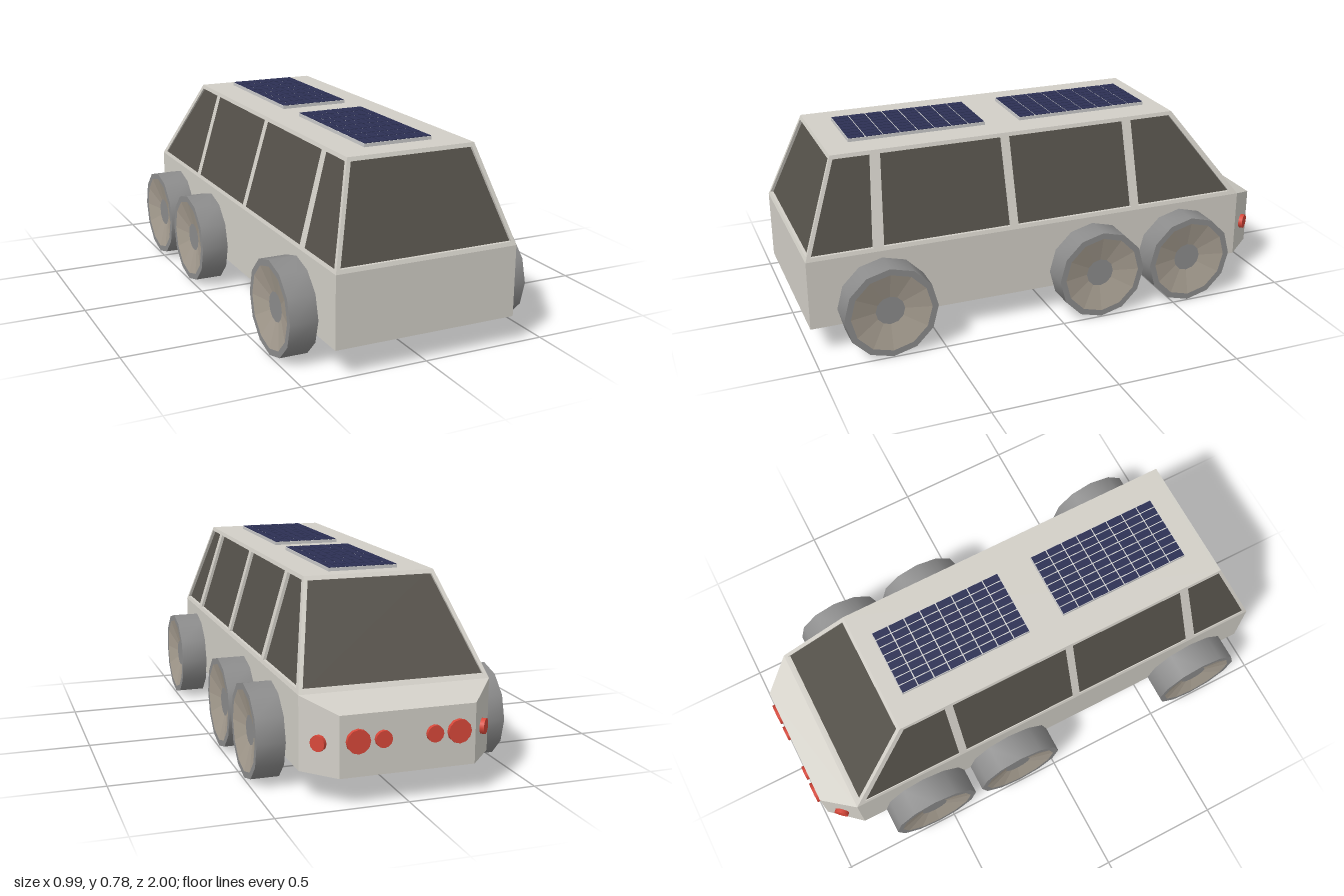
import * as THREE from 'three';
import { mergeGeometries, toCreasedNormals } from 'three/addons/utils/BufferGeometryUtils.js';
import { ConvexGeometry } from 'three/addons/geometries/ConvexGeometry.js';

const mat = (color, flatShading = false) => new THREE.MeshStandardMaterial({ color, flatShading });
const paint = mat(0xd2cfc7), glass = mat(0x55514a), steel = mat(0x808080), tyre = mat(0x8c8c8c);
const hubMat = mat(0xa89f92, true), capMat = mat(0x8c8c8c, true);
const red = mat(0xd8483a), cellMat = mat(0x2c3054), panelMat = mat(0xcccccc);

// Main levels of the body
const SILL = 0.39, ROOF = 0.76;

function add(parent, name, geometry, material) {
  const mesh = new THREE.Mesh(geometry, material);
  mesh.name = name;
  parent.add(mesh);
  return mesh;
}

// Convex solid from points listed for +x and mirrored to -x
function hull(points) {
  return new ConvexGeometry(points.flatMap(([x, y, z]) =>
    [new THREE.Vector3(x, y, z), new THREE.Vector3(-x, y, z)]));
}

// Leaning window frame: outline with holes, pushed out to the slope from base to top
function framePanel(outline, holes, base, top) {
  const depth = 0.015;
  const toPoints = (list) => list.map(([a, y]) => new THREE.Vector2(a, y));
  const shape = new THREE.Shape(toPoints(outline));
  holes.forEach((h) => shape.holes.push(new THREE.Path(toPoints(h))));
  const geometry = new THREE.ExtrudeGeometry(shape, { depth, bevelEnabled: false });
  const p = geometry.attributes.position;
  for (let i = 0; i < p.count; i++) {
    const t = (p.getY(i) - SILL) / (ROOF - SILL);
    p.setZ(i, base + (top - base) * t - depth + p.getZ(i));
  }
  geometry.computeVertexNormals();
  return geometry;
}

function buildCabin(group) {
  const lo = 0.405, hi = 0.745, g = 0.012;
  // Dark glass core just behind the frames
  add(group, 'windowGlass', hull([
    [0.37 - g, SILL, 1 - g], [0.37 - g, SILL, -0.86 + g],
    [0.26 - g, 0.755, 0.86 - g], [0.26 - g, 0.755, -0.58 + g],
  ]), glass);

  // Side frames: each window is bottom front, bottom rear, top rear, top front (z)
  const windows = [
    [0.978, 0.738, 0.706, 0.853], [0.695, 0.177, 0.177, 0.668],
    [0.144, -0.355, -0.355, 0.144], [-0.39, -0.82, -0.567, -0.39],
  ];
  for (const s of [1, -1]) {
    const flip = ([z, y]) => [-s * z, y];
    const outline = [[1, SILL], [-0.86, SILL], [-0.58, ROOF], [0.86, ROOF]].map(flip);
    const holes = windows.map(([a, b, c, d]) => [[a, lo], [b, lo], [c, hi], [d, hi]].map(flip));
    const side = add(group, s > 0 ? 'leftWindowFrame' : 'rightWindowFrame',
      framePanel(outline, holes, 0.37, 0.26), paint);
    side.rotation.y = s * Math.PI / 2;
  }

  // Front and rear frames
  const outline = [[-0.37, SILL], [0.37, SILL], [0.26, ROOF], [-0.26, ROOF]];
  const hole = [[-0.35, lo], [0.35, lo], [0.248, hi], [-0.248, hi]];
  add(group, 'windscreenFrame', framePanel(outline, [hole], 1, 0.86), paint);
  add(group, 'rearWindowFrame', framePanel(outline, [hole], 0.86, 0.58), paint).rotation.y = Math.PI;

  const roof = add(group, 'roof', new THREE.BoxGeometry(0.52, 0.015, 1.44), paint);
  roof.position.set(0, ROOF - 0.0075, 0.14);
}

function solarPanel(z) {
  const group = new THREE.Group();
  group.name = 'solarPanel';
  const w = 0.28, l = 0.56, n = 8, gap = 0.005;
  add(group, 'panelBase', new THREE.BoxGeometry(w, 0.013, l), panelMat).position.y = 0.0065;
  const cells = [];
  for (let i = 0; i < n; i++) {
    for (let j = 0; j < n; j++) {
      const cell = new THREE.BoxGeometry(w / n - gap, 0.004, l / n - gap);
      cells.push(cell.translate((i + 0.5) * w / n - w / 2, 0.0135, (j + 0.5) * l / n - l / 2));
    }
  }
  add(group, 'solarCells', mergeGeometries(cells), cellMat);
  group.position.set(0, ROOF, z);
  return group;
}

// Twelve-sided wheel with a dished hub facing +x
function wheel(side, z) {
  const group = new THREE.Group();
  group.name = side > 0 ? 'leftWheel' : 'rightWheel';
  const lathe = (pts) => new THREE.LatheGeometry(pts.map(([r, y]) => new THREE.Vector2(r, y)), 12)
    .rotateZ(-Math.PI / 2);
  add(group, 'tyre', toCreasedNormals(
    lathe([[0, -0.055], [0.185, -0.055], [0.185, 0.055], [0.16, 0.055]]), 0.6), tyre);
  add(group, 'hubDish', lathe([[0.16, 0.055], [0.058, 0.03]]), hubMat);
  add(group, 'hubCap', lathe([[0.058, 0.03], [0, 0.03]]), capMat);
  group.position.set(side * 0.44, 0.185, z);
  if (side < 0) group.rotation.y = Math.PI;
  return group;
}

// Round lamp facing away from the body at the given heading
function lamp(group, name, radius, x, y, z, heading) {
  const geometry = new THREE.CylinderGeometry(radius, radius, 0.03, 12).rotateX(Math.PI / 2);
  const mesh = add(group, name, geometry, red);
  mesh.position.set(x, y, z);
  mesh.rotation.y = heading;
}

export function createModel() {
  const model = new THREE.Group();
  model.name = 'rover';

  // Lower body with a chamfered, sloping tail
  add(model, 'lowerBody', hull([
    [0.37, 0.11, 1], [0.37, SILL, 1], [0.37, 0.11, -0.86], [0.37, SILL, -0.86],
    [0.26, 0.11, -0.985], [0.26, 0.34, -0.985],
  ]), paint);
  buildCabin(model);
  model.add(solarPanel(0.48), solarPanel(-0.23));

  // Axles and wheels
  for (const z of [0.71, -0.17, -0.57]) {
    const axle = add(model, 'axle', new THREE.CylinderGeometry(0.043, 0.043, 0.8, 12), steel);
    axle.rotation.z = Math.PI / 2;
    axle.position.set(0, 0.185, z);
    model.add(wheel(1, z), wheel(-1, z));
  }

  // Rear and corner lamps
  for (const s of [1, -1]) {
    lamp(model, 'largeTailLamp', 0.045, s * 0.193, 0.243, -0.985, 0);
    lamp(model, 'smallTailLamp', 0.032, s * 0.098, 0.243, -0.985, 0);
    lamp(model, 'cornerLamp', 0.03, s * 0.315, 0.23, -0.925, -s * Math.atan2(0.125, 0.11));
  }
  return model;
}
